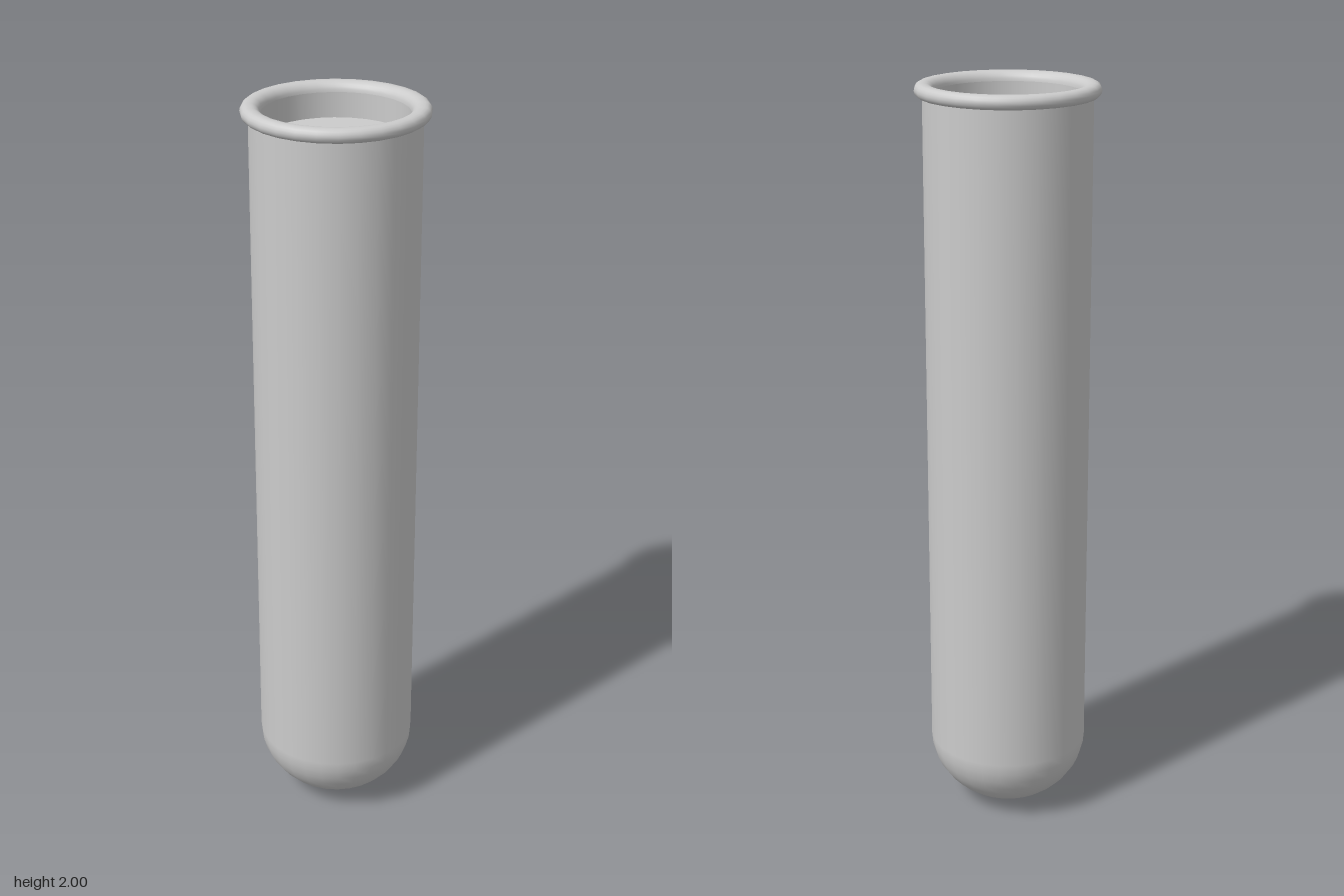
import * as THREE from 'three';

const SIDES = 28;
const OUTER = 0.215; // outer wall radius
const INNER = 0.185; // inner wall radius
const DOME = 0.19;   // height of the rounded bottom
const LEVEL = 1.91;  // height of the fill surface

// Points of a rounded bottom, from the axis up to the wall
function domePoints(radius, height, bottom, steps = 10) {
  return Array.from({ length: steps + 1 }, (_, i) => {
    const a = (i / steps) * Math.PI / 2;
    return new THREE.Vector2(radius * Math.sin(a), bottom + height * (1 - Math.cos(a)));
  });
}

// Points along an elliptical arc
function arcPoints(cx, cy, rx, ry, from, to, steps) {
  return Array.from({ length: steps + 1 }, (_, i) => {
    const a = from + (to - from) * (i / steps);
    return new THREE.Vector2(cx + rx * Math.cos(a), cy + ry * Math.sin(a));
  });
}

export function createModel() {
  const group = new THREE.Group();
  const material = new THREE.MeshStandardMaterial({ color: 0xcccccc });
  const add = (name, geometry, y = 0) => {
    const mesh = new THREE.Mesh(geometry, material);
    mesh.name = name;
    mesh.position.y = y;
    group.add(mesh);
  };

  // Outer wall with round bottom
  add('tubeWall', new THREE.LatheGeometry(
    [...domePoints(OUTER, DOME, 0), new THREE.Vector2(OUTER, 1.975)], SIDES));

  // Rolled lip: round outside, easing over into the mouth
  add('rim', new THREE.LatheGeometry([
    ...arcPoints(0.217, 1.982, 0.018, 0.018, -Math.PI / 2, Math.PI / 2, 8),
    ...arcPoints(0.21, 1.975, 0.025, 0.025, Math.PI / 2, Math.PI, 6),
  ], SIDES));

  // Inner wall, facing the axis
  add('innerWall', new THREE.LatheGeometry(
    [new THREE.Vector2(INNER, 1.975), new THREE.Vector2(INNER, LEVEL - 0.01)], SIDES));

  // Contents: flat top surface and round-bottomed body inside the wall
  const surface = new THREE.CircleGeometry(INNER, SIDES).rotateX(-Math.PI / 2);
  add('fillSurface', surface, LEVEL);
  add('fillBody', new THREE.LatheGeometry(
    [...domePoints(INNER, 0.16, 0.03), new THREE.Vector2(INNER, LEVEL)], SIDES));

  return group;
}
